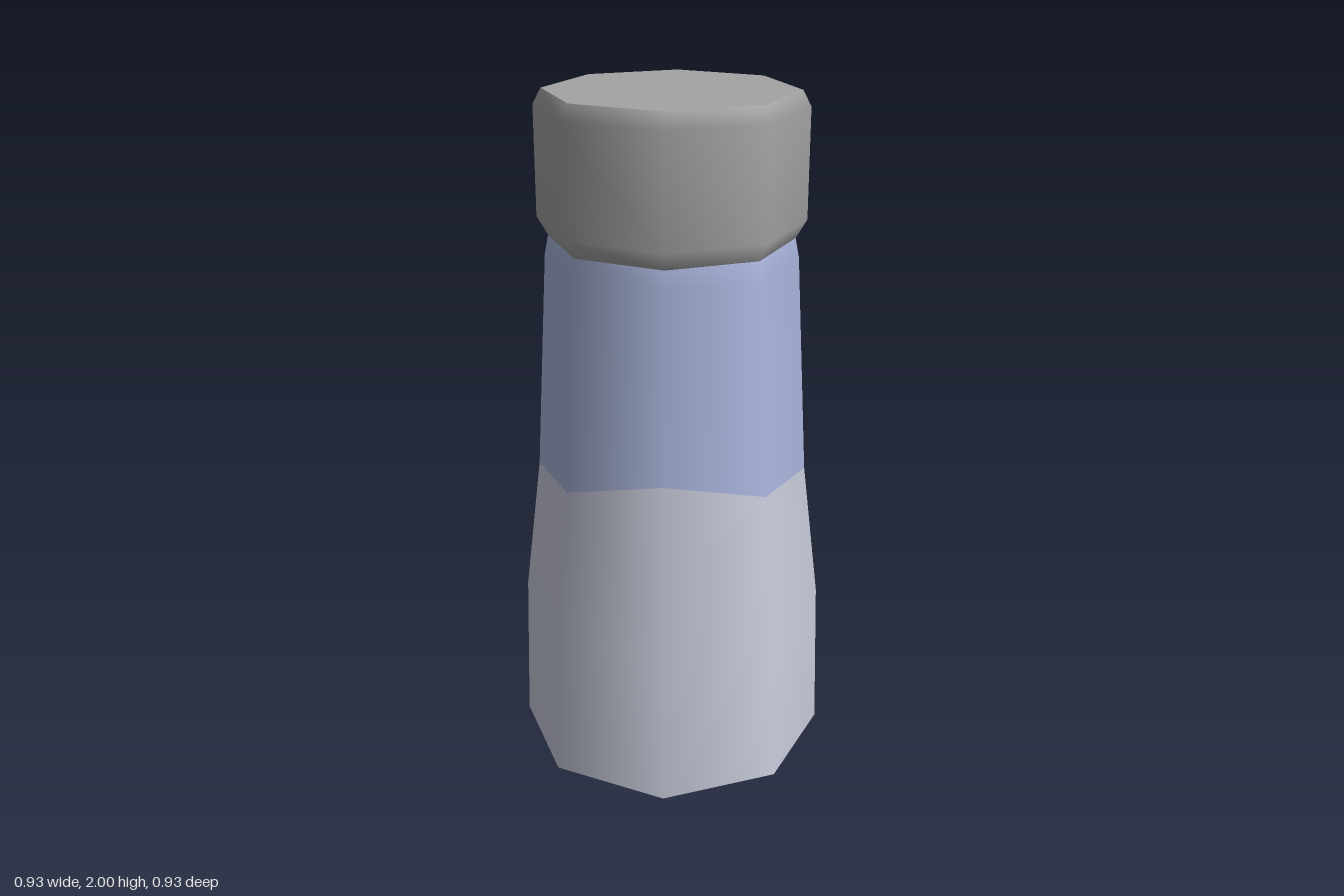
import * as THREE from 'three';

const SIDES = 8;
const material = (name, color) => {
  const m = new THREE.MeshStandardMaterial({ color });
  m.name = name;
  return m;
};
const lathe = (points) =>
  new THREE.LatheGeometry(points.map(([r, y]) => new THREE.Vector2(r, y)), SIDES);

export function createModel() {
  const pale = material('pale contents', 0xcacddd);
  const blue = material('blue glass', 0xaab5dc);
  const grey = material('grey lid', 0xa4a4a4);
  const group = new THREE.Group();
  group.name = 'shaker';

  const add = (name, geometry, mat) => {
    const mesh = new THREE.Mesh(geometry, mat);
    mesh.name = name;
    group.add(mesh);
    return mesh;
  };

  // Flat octagonal end, facing up or down
  const disc = (name, radius, y, up, mat) => {
    const mesh = add(name, new THREE.CircleGeometry(radius, SIDES), mat);
    mesh.rotation.x = up ? -Math.PI / 2 : Math.PI / 2;
    mesh.position.y = y;
  };

  // Tapered body; its middle ring is the uneven colour line
  const profile = [[0.466, 0], [0.453, 0.46], [0.4, 0.9], [0.364, 1.53], [0.352, 1.59]];
  const split = 2;
  const rows = profile.length - 1;
  const body = lathe(profile);
  const pos = body.attributes.position;
  // Heights of the line at the front, diagonal, side, diagonal, back...
  const lineHeights = [0.98, 0.907, 0.875, 0.907];
  for (let i = 0; i <= SIDES; i++) {
    const y = lineHeights[i % 4];
    const r = 0.402 - (y - 0.875) * 0.07;
    const a = (i / SIDES) * Math.PI * 2;
    pos.setXYZ(i * profile.length + split, r * Math.sin(a), y, r * Math.cos(a));
  }
  for (let i = 0; i < SIDES; i++) {
    body.addGroup(i * rows * 6, split * 6, 0);
    body.addGroup((i * rows + split) * 6, (rows - split) * 6, 1);
  }
  add('body', body, [pale, blue]);
  disc('base', 0.466, 0, false, pale);

  // Lid with bevelled rims
  add('lid', lathe([[0.352, 1.585], [0.384, 1.64], [0.384, 1.955], [0.36, 2]]), grey);
  disc('lidUnderside', 0.352, 1.585, false, grey);
  disc('lidTop', 0.36, 2, true, grey);

  return group;
}
